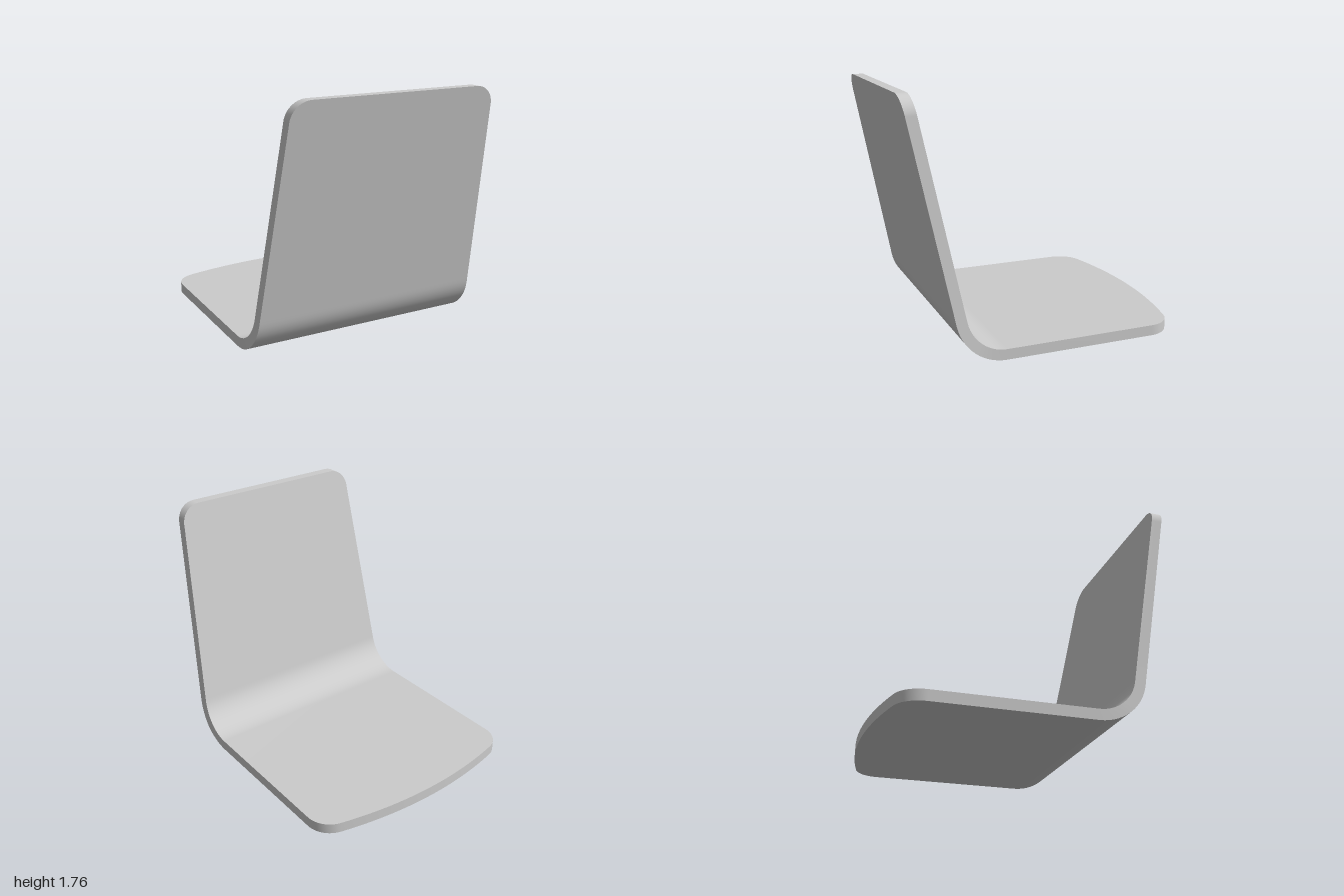
import * as THREE from 'three';
import { toCreasedNormals } from 'three/addons/utils/BufferGeometryUtils.js';

const HALF = 0.845;            // half width of the seat
const THICK = 0.075;
const BEND_Z = 0.357, BEND_R = 0.35; // bend axis and outer radius
const LEAN = THREE.MathUtils.degToRad(11.5);
const TOP = 1.76;

// Half width of the tapering backrest at height y
const backHalf = (y) => HALF - 0.0675 * Math.max(0, y - THICK);

// Each section pairs a point on the outer skin with one on the inner skin: [z, y, half width]
function makeSections() {
  const sections = [];
  const seat = (z, w) => sections.push([[z, 0, w], [z, THICK, w]]);

  // Seat: bowed front edge, rounded corners, straight sides
  for (let i = 0; i <= 14; i++) {
    const x = 0.03 + (0.7 - 0.03) * i / 14;
    seat(-1 + x * x / 5.8, x);
  }
  const r = 0.185;
  for (let i = 1; i <= 12; i++) {
    const a = THREE.MathUtils.degToRad(76.5) * (1 - i / 12);
    seat(-0.735 - r * Math.sin(a), HALF - r + r * Math.cos(a));
  }
  seat(-0.73, HALF);
  seat(BEND_Z - 0.005, HALF);

  // Bend between seat and backrest
  const turn = Math.PI / 2 - LEAN;
  for (let i = 0; i <= 14; i++) {
    const a = turn * i / 14;
    sections.push([BEND_R, BEND_R - THICK].map((rad) => {
      const y = BEND_R - rad * Math.cos(a);
      return [BEND_Z + rad * Math.sin(a), y, backHalf(y)];
    }));
  }

  // Backrest: horizontal sections, rounded top corners
  const slope = Math.tan(LEAN);
  const endZ = BEND_Z + BEND_R * Math.sin(turn), endY = BEND_R - BEND_R * Math.cos(turn);
  const back = (y, w) => {
    const z = endZ + (y - endY) * slope;
    sections.push([[z, y, w], [z - THICK / Math.cos(LEAN), y, w]]);
  };
  const cr = 0.14, cy = TOP - cr;
  back(0.31, backHalf(0.31));
  back(cy, backHalf(cy));
  const cx = backHalf(cy) - cr;
  for (let i = 0; i <= 12; i++) {
    const a = 0.065 + (Math.PI / 2 - 0.065) * i / 12;
    back(cy + cr * Math.sin(a), cx + cr * Math.cos(a));
  }
  return sections;
}

// Skin the sections with outer, inner and side faces, then close both ends
function shellGeometry() {
  const sections = makeSections();
  const pos = [];
  const at = ([z, y, w], side) => [side * w, y, z];
  const quad = (a, b, c, d) => pos.push(...a, ...b, ...c, ...a, ...c, ...d);

  for (let i = 0; i < sections.length - 1; i++) {
    const [o, n] = sections[i], [o2, n2] = sections[i + 1];
    quad(at(o, -1), at(o, 1), at(o2, 1), at(o2, -1));
    quad(at(n, 1), at(n, -1), at(n2, -1), at(n2, 1));
    quad(at(o, 1), at(n, 1), at(n2, 1), at(o2, 1));
    quad(at(o2, -1), at(n2, -1), at(n, -1), at(o, -1));
  }
  const [fo, fi] = sections[0], [to, ti] = sections[sections.length - 1];
  quad(at(fo, 1), at(fo, -1), at(fi, -1), at(fi, 1));
  quad(at(to, -1), at(to, 1), at(ti, 1), at(ti, -1));

  const geometry = new THREE.BufferGeometry();
  geometry.setAttribute('position', new THREE.Float32BufferAttribute(pos, 3));
  return toCreasedNormals(geometry, THREE.MathUtils.degToRad(30));
}

export function createModel() {
  const group = new THREE.Group();
  group.name = 'chairShell';
  const shell = new THREE.Mesh(shellGeometry(), new THREE.MeshStandardMaterial({ color: 0xcccccc }));
  shell.name = 'seatAndBackrest';
  group.add(shell);
  return group;
}
